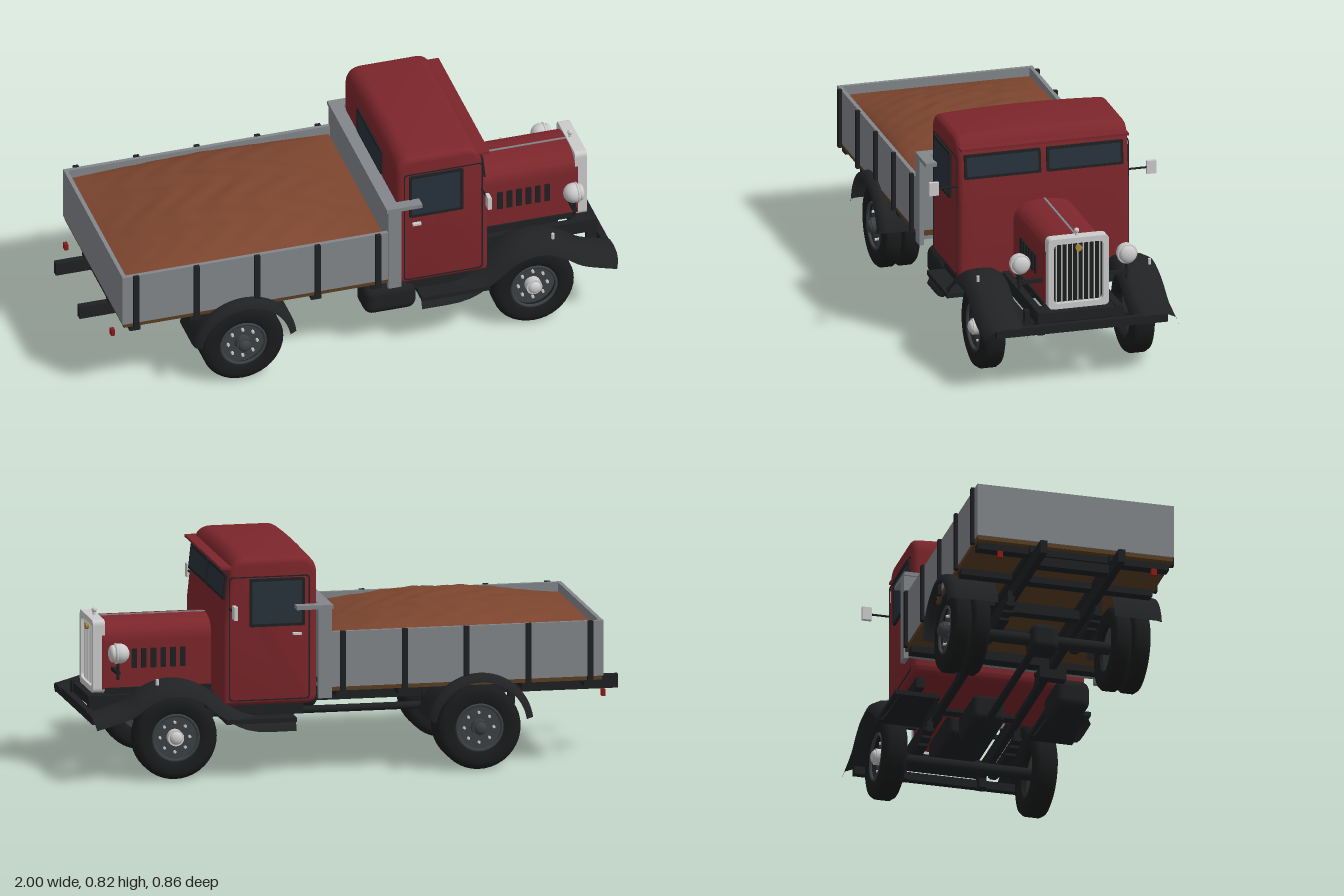
import * as THREE from 'three';
import { toCreasedNormals } from 'three/addons/utils/BufferGeometryUtils.js';
import { RoundedBoxGeometry } from 'three/addons/geometries/RoundedBoxGeometry.js';

const mat = (color, side = THREE.FrontSide) => {
  const m = new THREE.MeshStandardMaterial({ side });
  m.color.set(color);
  return m;
};
const RED = mat(0x7c262b), GREY = mat(0x82868a), DARK = mat(0x1e2022), RUBBER = mat(0x1a1b1c);
const GLASS = mat(0x27313b), CHROME = mat(0xc2c2c0), SOIL = mat(0x7c452e, THREE.DoubleSide), WOOD = mat(0x5a3e22);
const STEEL = mat(0x3c4043), BRASS = mat(0xa88a3a), LAMP = mat(0x8a1a18), SHEET = mat(0x202224, THREE.DoubleSide);

export function createModel() {
  const truck = new THREE.Group();
  truck.name = 'dumpTruck';
  const add = (name, geo, m, x = 0, y = 0, z = 0, parent = truck) => {
    const mesh = new THREE.Mesh(geo, m);
    mesh.name = name;
    mesh.position.set(x, y, z);
    parent.add(mesh);
    return mesh;
  };
  // box given by its limits on each axis
  const box = (name, m, x0, x1, y0, y1, z0, z1, parent) =>
    add(name, new THREE.BoxGeometry(x1 - x0, y1 - y0, z1 - z0), m, (x0 + x1) / 2, (y0 + y1) / 2, (z0 + z1) / 2, parent);
  // the same box on both sides
  const pair = (name, m, x0, x1, y0, y1, z0, z1) => {
    box(name, m, x0, x1, y0, y1, z0, z1);
    box(name, m, x0, x1, y0, y1, -z1, -z0);
  };
  const rect = (w, h, r, C = THREE.Shape) => {
    const s = new C(), a = w / 2, b = h / 2;
    s.moveTo(-a + r, -b).lineTo(a - r, -b).quadraticCurveTo(a, -b, a, -b + r).lineTo(a, b - r).quadraticCurveTo(a, b, a - r, b);
    s.lineTo(-a + r, b).quadraticCurveTo(-a, b, -a, b - r).lineTo(-a, -b + r).quadraticCurveTo(-a, -b, -a + r, -b);
    return s;
  };
  const frameGeo = (w, h, t, depth, r = 0.005) => {
    const s = rect(w, h, r);
    s.holes.push(rect(w - 2 * t, h - 2 * t, r, THREE.Path));
    return new THREE.ExtrudeGeometry(s, { depth, bevelEnabled: false }).translate(0, 0, -depth / 2);
  };
  const rodZ = (r, len, seg = 20) => new THREE.CylinderGeometry(r, r, len, seg).rotateX(Math.PI / 2);
  const rodX = (r, len, seg = 16) => new THREE.CylinderGeometry(r, r, len, seg).rotateZ(Math.PI / 2);

  // Chassis: rails, cross members, sills, bumper
  pair('chassisRail', DARK, -1, 0.97, 0.24, 0.29, 0.134, 0.16);
  for (const x of [-0.85, -0.44, -0.02, 0.45, 0.9]) box('crossMember', DARK, x - 0.02, x + 0.02, 0.25, 0.285, -0.14, 0.14);
  pair('bedSill', DARK, -0.89, 0.15, 0.29, 0.315, 0.13, 0.17);
  for (let i = 0; i < 5; i++) box('bedBearer', DARK, -0.87 + i * 0.23, -0.83 + i * 0.23, 0.29, 0.316, -0.36, 0.36);
  box('frontBumper', DARK, 0.965, 0.99, 0.216, 0.247, -0.325, 0.325);
  box('frontApron', DARK, 0.92, 0.965, 0.25, 0.285, -0.16, 0.16);
  pair('bumperBracket', DARK, 0.93, 0.97, 0.205, 0.28, 0.137, 0.163);
  pair('tailLamp', LAMP, -0.922, -0.908, 0.24, 0.265, 0.28, 0.3);

  // Axles, springs and drive line
  for (const x of [-0.44, 0.68]) {
    add('axle', rodZ(0.023, 0.6), DARK, x, 0.155, 0);
    for (const s of [-1, 1]) {
      for (let i = 0; i < 3; i++) box('leafSpring', DARK, x - 0.17 + i * 0.045, x + 0.17 - i * 0.045, 0.205 - i * 0.011, 0.215 - i * 0.011, s * 0.165 - 0.018, s * 0.165 + 0.018);
      for (const e of [-0.16, 0.16]) box('springShackle', DARK, x + e - 0.012, x + e + 0.012, 0.2, 0.26, s * 0.165 - 0.012, s * 0.165 + 0.012);
    }
  }
  add('differential', new RoundedBoxGeometry(0.11, 0.1, 0.104, 3, 0.025), DARK, -0.44, 0.155, 0);
  add('driveShaft', rodX(0.014, 0.75), DARK, -0.07, 0.175, 0);
  add('gearbox', new RoundedBoxGeometry(0.22, 0.1, 0.12, 2, 0.02), DARK, 0.4, 0.22, 0);
  add('engineSump', new RoundedBoxGeometry(0.3, 0.1, 0.16, 2, 0.02), DARK, 0.7, 0.27, 0);
  add('fuelTank', new RoundedBoxGeometry(0.2, 0.115, 0.13, 4, 0.035), DARK, 0.14, 0.197, 0.25);
  box('tankStrap', DARK, -0.04, 0, 0.205, 0.25, 0.1, 0.2);

  // Wheels: single in front, twin at the rear
  const tyreGeo = (w) => new THREE.LatheGeometry(
    [[0.084, -0.75], [0.1, -0.95], [0.128, -1], [0.146, -0.86], [0.155, -0.55], [0.155, 0.55], [0.146, 0.86], [0.128, 1], [0.1, 0.95], [0.084, 0.75], [0.084, -0.75]]
      .map(([r, y]) => new THREE.Vector2(r, y * w)), 40).rotateX(Math.PI / 2);
  const wheel = (name, x, s, centres, w, hubMat) => {
    const g = new THREE.Group();
    g.name = name;
    g.position.set(x, 0.155, 0);
    truck.add(g);
    for (const z of centres) {
      add('tyre', tyreGeo(w), RUBBER, 0, 0, s * z, g);
      add('rimDisc', rodZ(0.086, 0.03, 32), STEEL, 0, 0, s * z, g);
    }
    const z = centres[0];
    add('rimEdge', new THREE.TorusGeometry(0.084, 0.006, 8, 36), STEEL, 0, 0, s * (z + w * 0.8), g);
    add('hub', rodZ(0.03, 0.045), hubMat, 0, 0, s * (z + 0.022), g);
    add('hubCap', new THREE.SphereGeometry(0.024, 16, 10).scale(1, 1, 0.6), hubMat, 0, 0, s * (z + 0.045), g);
    for (let i = 0; i < 8; i++) {
      const a = (i * Math.PI) / 4;
      add('wheelNut', rodZ(0.0055, 0.014, 6), CHROME, Math.cos(a) * 0.055, Math.sin(a) * 0.055, s * (z + 0.02), g);
    }
  };

  // Mudguards: a side path swept with a crowned section of [z, drop]
  const mudguard = (name, path, section, s) => {
    const pts = new THREE.CatmullRomCurve3(path.map(([x, y]) => new THREE.Vector3(x, y, 0))).getPoints(36);
    const pos = [], idx = [], n = section.length;
    pts.forEach((p, i) => {
      const t = pts[Math.min(i + 1, 36)].clone().sub(pts[Math.max(i - 1, 0)]).normalize();
      for (const [z, d] of section) pos.push(p.x - t.y * d, p.y + t.x * d, s * z);
      if (i) for (let j = 1; j < n; j++) {
        const a = i * n + j, b = a - n;
        idx.push(a, b, b - 1, a, b - 1, a - 1);
      }
    });
    const geo = new THREE.BufferGeometry();
    geo.setAttribute('position', new THREE.Float32BufferAttribute(pos, 3));
    geo.setIndex(idx);
    geo.computeVertexNormals();
    add(name, geo, SHEET);
  };
  const frontPath = [[0.995, 0.25], [0.93, 0.268], [0.87, 0.288], [0.82, 0.322], [0.75, 0.357], [0.68, 0.367], [0.6, 0.35], [0.54, 0.315], [0.48, 0.268], [0.4, 0.228], [0.24, 0.222]];
  const rearPath = [];
  for (let a = 170; a >= 10; a -= 10) rearPath.push([-0.44 + 0.2 * Math.cos(a * Math.PI / 180), 0.16 + 0.2 * Math.sin(a * Math.PI / 180)]);
  for (const s of [-1, 1]) {
    wheel('frontWheel', 0.68, s, [0.283], 0.046, CHROME);
    wheel('rearWheel', -0.44, s, [0.337, 0.266], 0.036, STEEL);
    // front path runs backwards, so its drop has the opposite sign
    mudguard('frontMudguard', frontPath, [[0.205, 0.045], [0.212, 0.018], [0.235, 0.004], [0.28, 0], [0.325, 0.005], [0.355, 0.02], [0.368, 0.05]], s);
    mudguard('rearMudguard', rearPath, [[0.22, 0], [0.375, 0], [0.398, -0.005], [0.406, -0.03]], s);
    add('markerLamp', new THREE.CylinderGeometry(0.006, 0.006, 0.022, 10), CHROME, 0.75, 0.365, s * 0.325);
  }
  pair('runningBoard', DARK, 0.24, 0.5, 0.205, 0.222, 0.2, 0.368);
  pair('boardValance', DARK, 0.2, 0.52, 0.222, 0.285, 0.27, 0.3);

  // Cargo bed
  box('bedFloor', WOOD, -0.895, 0.13, 0.315, 0.335, -0.368, 0.368);
  pair('bedSide', GREY, -0.9, 0.13, 0.33, 0.535, 0.355, 0.37);
  box('tailgate', GREY, -0.9, -0.885, 0.33, 0.535, -0.355, 0.355);
  box('headboard', GREY, 0.11, 0.128, 0.3, 0.63, -0.368, 0.368);
  pair('headboardWing', GREY, 0.11, 0.16, 0.29, 0.63, 0.355, 0.372);
  box('headboardCap', GREY, 0.105, 0.153, 0.62, 0.635, -0.372, 0.372);
  pair('capReturn', GREY, 0.105, 0.24, 0.62, 0.635, 0.33, 0.372);
  for (let i = 0; i < 5; i++) pair('sidePost', DARK, -0.86 + i * 0.23, -0.84 + i * 0.23, 0.315, 0.537, 0.368, 0.382);
  // Heaped soil load
  const soil = new THREE.PlaneGeometry(0.99, 0.71, 60, 44).rotateX(-Math.PI / 2);
  const sp = soil.attributes.position;
  for (let i = 0; i < sp.count; i++) {
    const x = sp.getX(i), z = sp.getZ(i), u = x / 0.5, w = z / 0.36;
    const dome = Math.max(0, 1 - u * u) * Math.sqrt(Math.max(0, 1 - w * w));
    const lumps = Math.sin(x * 31 + Math.sin(z * 23) * 1.6) * Math.cos(z * 27 + x * 9) + 0.5 * Math.sin(x * 67 - z * 41);
    sp.setY(i, 0.5 + 0.088 * dome + 0.005 * lumps * dome);
  }
  soil.computeVertexNormals();
  add('soilLoad', soil, SOIL, -0.39, 0, 0);

  // Cab: side profile with rounded edges and a crowned roof
  const cabShape = new THREE.Shape();
  cabShape.moveTo(0.19, 0.285).lineTo(0.483, 0.285).lineTo(0.483, 0.55).lineTo(0.463, 0.735);
  cabShape.quadraticCurveTo(0.457, 0.787, 0.42, 0.787).lineTo(0.215, 0.787).quadraticCurveTo(0.177, 0.787, 0.177, 0.745);
  cabShape.lineTo(0.177, 0.3).quadraticCurveTo(0.177, 0.285, 0.19, 0.285);
  const cab = new THREE.ExtrudeGeometry(cabShape, { depth: 0.606, steps: 12, bevelThickness: 0.022, bevelSize: 0.022, bevelSegments: 4, curveSegments: 8 }).translate(0, 0, -0.303);
  const cp = cab.attributes.position;
  for (let i = 0; i < cp.count; i++) {
    const k = Math.max(0, (cp.getY(i) - 0.77) / 0.039);
    cp.setY(i, cp.getY(i) + 0.012 * k * (1 - (cp.getZ(i) / 0.325) ** 2));
  }
  add('cabBody', toCreasedNormals(cab, 0.6), RED);
  box('sunVisor', RED, 0.465, 0.512, 0.77, 0.779, -0.318, 0.318);
  for (const s of [-1, 1]) {
    add('doorSeam', frameGeo(0.3, 0.46, 0.004, 0.004, 0.015), DARK, 0.333, 0.512, s * 0.325);
    add('doorWindowFrame', frameGeo(0.205, 0.178, 0.01, 0.016), DARK, 0.305, 0.645, s * 0.325);
    box('doorGlass', GLASS, 0.21, 0.4, 0.562, 0.728, s * 0.325 - 0.004, s * 0.325 + 0.004);
    box('doorHandle', CHROME, 0.215, 0.247, 0.522, 0.53, s * 0.332 - 0.007, s * 0.332 + 0.007);
    add('windscreenFrame', frameGeo(0.29, 0.092, 0.01, 0.012).rotateY(Math.PI / 2), DARK, 0.491, 0.702, s * 0.156).rotation.z = 0.108;
    add('windscreenGlass', new THREE.BoxGeometry(0.01, 0.078, 0.272), GLASS, 0.492, 0.699, s * 0.156).rotation.z = 0.108;
    // Wing mirror
    add('mirrorArm', rodZ(0.004, 0.09, 8), DARK, 0.48, 0.627, s * 0.365);
    box('mirror', CHROME, 0.472, 0.486, 0.602, 0.652, s * 0.412 - 0.018, s * 0.412 + 0.018);
  }
  add('rearWindowFrame', frameGeo(0.3, 0.1, 0.01, 0.01).rotateY(Math.PI / 2), DARK, 0.154, 0.69, 0);
  box('rearGlass', GLASS, 0.151, 0.158, 0.648, 0.732, -0.142, 0.142);

  // Bonnet: arched section pulled along x
  const arch = new THREE.Shape();
  arch.moveTo(-0.118, 0.305).lineTo(0.118, 0.305).lineTo(0.118, 0.48).bezierCurveTo(0.118, 0.535, 0.08, 0.556, 0, 0.556);
  arch.bezierCurveTo(-0.08, 0.556, -0.118, 0.535, -0.118, 0.48).lineTo(-0.118, 0.305);
  const bonnet = new THREE.ExtrudeGeometry(arch, { depth: 0.42, bevelEnabled: false, curveSegments: 16 }).rotateY(Math.PI / 2);
  add('bonnet', toCreasedNormals(bonnet, 0.6), RED, 0.49);
  box('bonnetHinge', GREY, 0.5, 0.9, 0.553, 0.559, -0.004, 0.004);
  for (let i = 0; i < 6; i++) pair('louvre', DARK, 0.602 + i * 0.036, 0.622 + i * 0.036, 0.38, 0.452, 0.114, 0.123);
  pair('bonnetSill', DARK, 0.5, 0.9, 0.29, 0.31, 0.1, 0.125);

  // Radiator grille
  add('radiatorShell', frameGeo(0.23, 0.27, 0.021, 0.045, 0.02).rotateY(Math.PI / 2), CHROME, 0.922, 0.425, 0);
  box('radiatorCore', RUBBER, 0.9, 0.925, 0.3, 0.545, -0.1, 0.1);
  for (let i = 0; i < 9; i++) add('grilleBar', new THREE.CylinderGeometry(0.0028, 0.0028, 0.23, 8), CHROME, 0.932, 0.425, (i - 4) * 0.0205);
  add('radiatorBoss', rodX(0.012, 0.012), BRASS, 0.943, 0.52, 0);
  add('fillerNeck', new THREE.CylinderGeometry(0.005, 0.007, 0.02, 12), CHROME, 0.915, 0.566, 0);
  add('fillerCap', new THREE.SphereGeometry(0.01, 12, 8), CHROME, 0.915, 0.578, 0);

  // Headlamps on a cross bar
  for (const s of [-1, 1]) {
    box('lampBar', DARK, 0.863, 0.877, 0.374, 0.388, s * 0.155 - 0.055, s * 0.155 + 0.055);
    add('lampStem', new THREE.CylinderGeometry(0.005, 0.005, 0.07, 8), DARK, 0.87, 0.39, s * 0.203);
    add('headlampShell', new THREE.SphereGeometry(0.037, 24, 16), CHROME, 0.865, 0.453, s * 0.203);
    add('headlampRim', new THREE.TorusGeometry(0.034, 0.005, 8, 28).rotateY(Math.PI / 2), CHROME, 0.878, 0.453, s * 0.203);
    add('headlampLens', new THREE.SphereGeometry(0.032, 24, 12).scale(0.5, 1, 1), CHROME, 0.89, 0.453, s * 0.203);
  }
  return truck;
}
